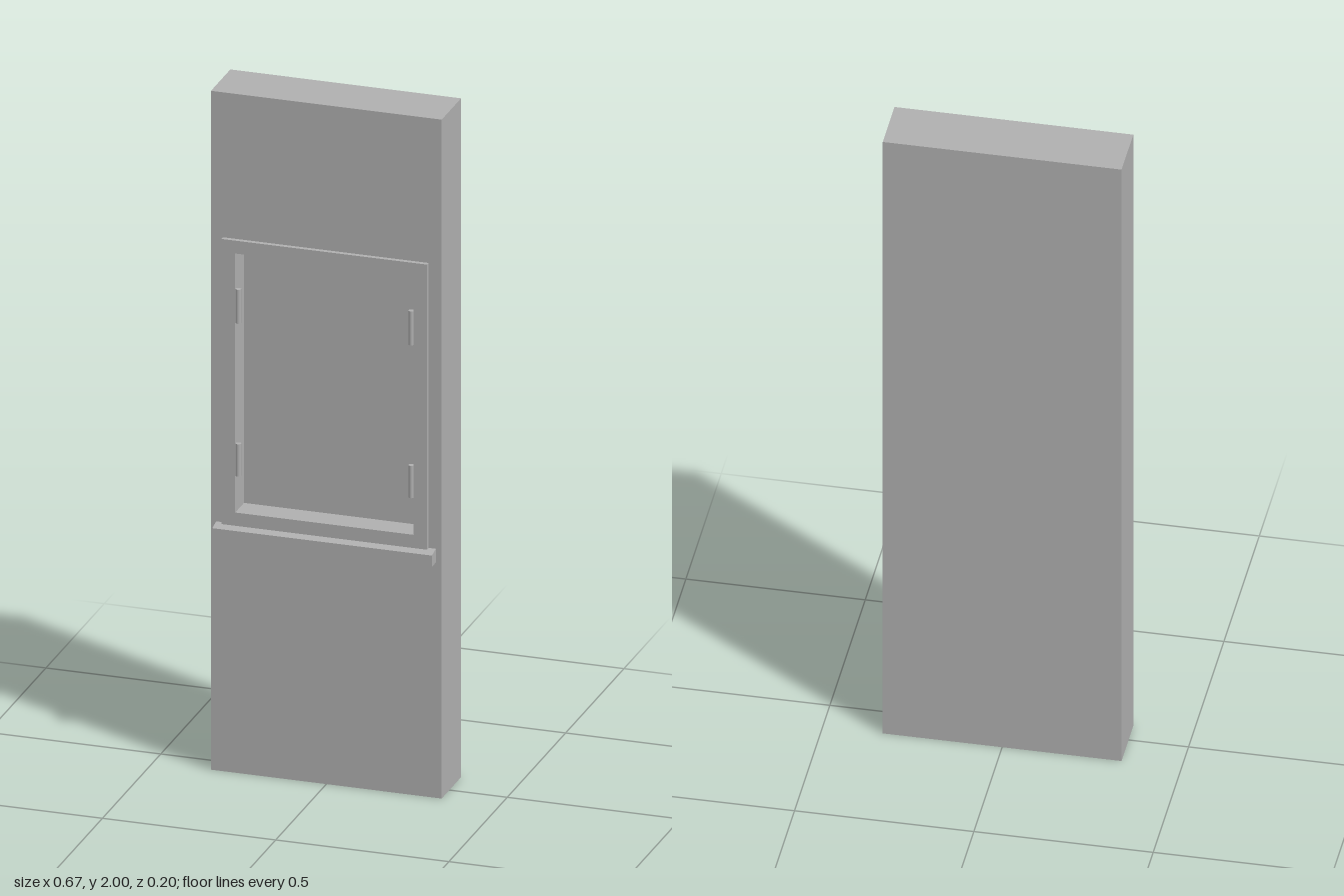
import * as THREE from 'three';

const grey = new THREE.MeshStandardMaterial({ color: 0xb0b0b0 });
grey.name = 'plaster grey';

// Shared layout: the window sits a hair off centre
const CX = -0.0015;
const OPENING = { x: 0.257, y0: 0.772, y1: 1.535 };
const WALL_FRONT = 0.066, RECESS = 0.004, WALL_BACK = -0.1;

function outline(Type, cx, halfWidth, y0, y1) {
  const p = new Type();
  p.moveTo(cx - halfWidth, y0);
  p.lineTo(cx + halfWidth, y0);
  p.lineTo(cx + halfWidth, y1);
  p.lineTo(cx - halfWidth, y1);
  p.closePath();
  return p;
}

// Rectangular slab with the window opening cut through, from z0 to z1
function piercedSlab(cx, halfWidth, y0, y1, z0, z1) {
  const shape = outline(THREE.Shape, cx, halfWidth, y0, y1);
  shape.holes.push(outline(THREE.Path, CX, OPENING.x, OPENING.y0, OPENING.y1));
  return new THREE.ExtrudeGeometry(shape, { depth: z1 - z0, bevelEnabled: false }).translate(0, 0, z0);
}

export function createModel() {
  const model = new THREE.Group();
  model.name = 'wallWithWindowRecess';
  const add = (name, geometry) => {
    const mesh = new THREE.Mesh(geometry, grey);
    mesh.name = name;
    model.add(mesh);
    return mesh;
  };

  // Wall: pierced front layer over a solid back layer that closes the recess
  add('wallFront', piercedSlab(0, 0.333, 0, 2, RECESS, WALL_FRONT));
  add('wallBack', new THREE.BoxGeometry(0.666, 2, RECESS - WALL_BACK))
    .position.set(0, 1, (RECESS + WALL_BACK) / 2);

  // Raised surround
  add('windowFrame', piercedSlab(CX, 0.297, 0.733, 1.573, WALL_FRONT, 0.079));

  // Sill: side profile with a sloped top, extruded along x
  const profile = new THREE.Shape();
  profile.moveTo(-0.06, 0.693);
  profile.lineTo(-0.06, 0.735);
  profile.lineTo(-0.099, 0.726);
  profile.lineTo(-0.099, 0.693);
  profile.closePath();
  const sill = new THREE.ExtrudeGeometry(profile, { depth: 0.634, bevelEnabled: false });
  sill.translate(0, 0, -0.317).rotateY(Math.PI / 2).translate(-0.001, 0, 0);
  add('windowSill', sill);

  // Hinge barrels, two on each side of the opening
  for (const side of [-1, 1]) {
    for (const [y0, y1] of [[0.88, 0.975], [1.33, 1.43]]) {
      add('hinge', new THREE.CylinderGeometry(0.008, 0.008, y1 - y0, 12))
        .position.set(CX + side * 0.2495, (y0 + y1) / 2, 0.074);
    }
  }
  return model;
}
